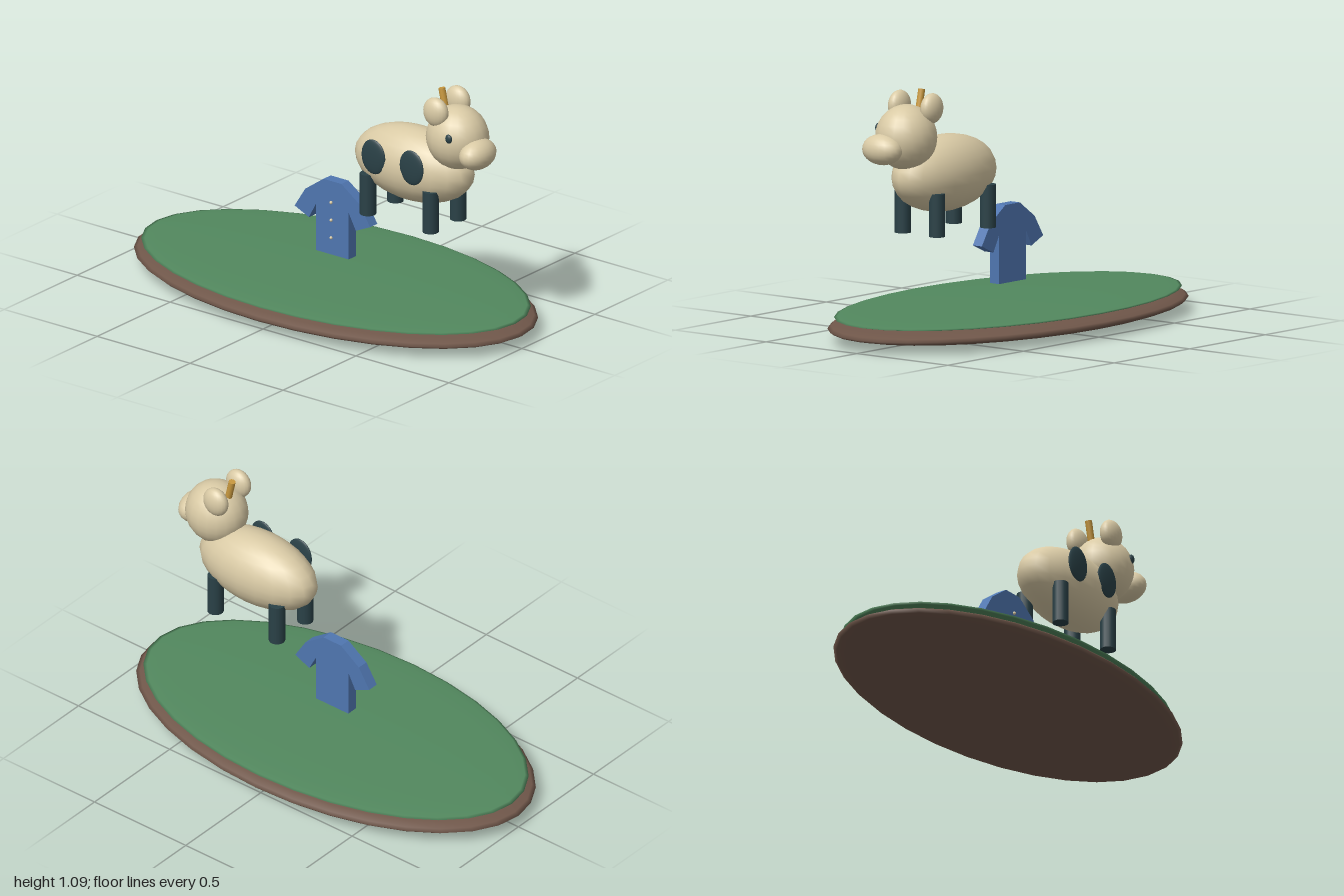
import * as THREE from 'three';

const mat = (name, color, extra = {}) => {
  const m = new THREE.MeshStandardMaterial({ color, ...extra });
  m.name = name;
  return m;
};

export function createModel() {
  const cream = mat('cream', 0xd9caa5);
  const dark = mat('dark slate', 0x2a4147);
  const green = mat('grass green', 0x52885e);
  const brown = mat('earth brown', 0x70574a);
  const blue = mat('shirt blue', 0x4f76b0);
  const gold = mat('horn gold', 0xc9993f);

  const root = new THREE.Group();
  root.name = 'cowOverShirt';

  const add = (parent, name, geometry, material, pos) => {
    const mesh = new THREE.Mesh(geometry, material);
    mesh.name = name;
    mesh.position.set(...pos);
    parent.add(mesh);
    return mesh;
  };
  // Sphere stretched to three radii
  const ellipsoid = (parent, name, material, pos, radii, seg = 20, rings = 14) => {
    const mesh = add(parent, name, new THREE.SphereGeometry(1, seg, rings), material, pos);
    mesh.scale.set(...radii);
    return mesh;
  };
  const group = (name) => {
    const g = new THREE.Group();
    g.name = name;
    root.add(g);
    return g;
  };

  // Ground: earth disc with a thin layer of grass
  const ground = group('ground');
  ellipsoid(ground, 'earth', brown, [0, 0.057, 0], [1, 0.057, 0.545], 32, 16);
  ellipsoid(ground, 'grass', green, [0, 0.104, 0], [0.965, 0.018, 0.523], 32, 16);

  // Shirt: mirrored half outline, extruded
  const shirt = group('shirt');
  const half = [[0.088, 0.19], [0.088, 0.402], [0.126, 0.33], [0.203, 0.365], [0.146, 0.455], [0.048, 0.524]];
  const outline = [...half, ...half.map(([x, y]) => [-x, y]).reverse()];
  const shape = new THREE.Shape(outline.map(([x, y]) => new THREE.Vector2(x, y)));
  add(shirt, 'shirtBody', new THREE.ExtrudeGeometry(shape, { depth: 0.05, bevelEnabled: false }), blue, [0, 0, -0.025]);
  for (const y of [0.27, 0.35, 0.43]) ellipsoid(shirt, 'button', cream, [0, y, 0.034], [0.007, 0.007, 0.007], 10, 8);

  // Cow body, patches and legs
  const cow = group('cow');
  ellipsoid(cow, 'body', cream, [0.424, 0.707, 0], [0.302, 0.164, 0.147]);
  for (const x of [0.31, 0.515]) ellipsoid(cow, 'patch', dark, [x, 0.747, 0.138], [0.064, 0.078, 0.013]);
  const legGeometry = new THREE.CylinderGeometry(0.035, 0.035, 0.185, 14);
  for (const x of [0.246, 0.583])
    for (const z of [-0.094, 0.094]) add(cow, 'leg', legGeometry, dark, [x, 0.5525, z]);

  // Head, turned slightly to the front
  ellipsoid(cow, 'head', cream, [0.662, 0.886, 0.01], [0.139, 0.14, 0.128]);
  ellipsoid(cow, 'snout', cream, [0.79, 0.845, 0.035], [0.067, 0.066, 0.097]);
  ellipsoid(cow, 'frontEar', cream, [0.609, 1.009, 0.091], [0.062, 0.065, 0.038]);
  ellipsoid(cow, 'backEar', cream, [0.596, 1.009, -0.076], [0.062, 0.065, 0.038]);
  ellipsoid(cow, 'eye', dark, [0.706, 0.921, 0.127], [0.017, 0.02, 0.01], 12, 10);
  const horn = add(cow, 'horn', new THREE.CylinderGeometry(0.015, 0.015, 0.12, 12), gold, [0.583, 1.024, 0.001]);
  horn.rotation.z = 0.22;

  return root;
}
